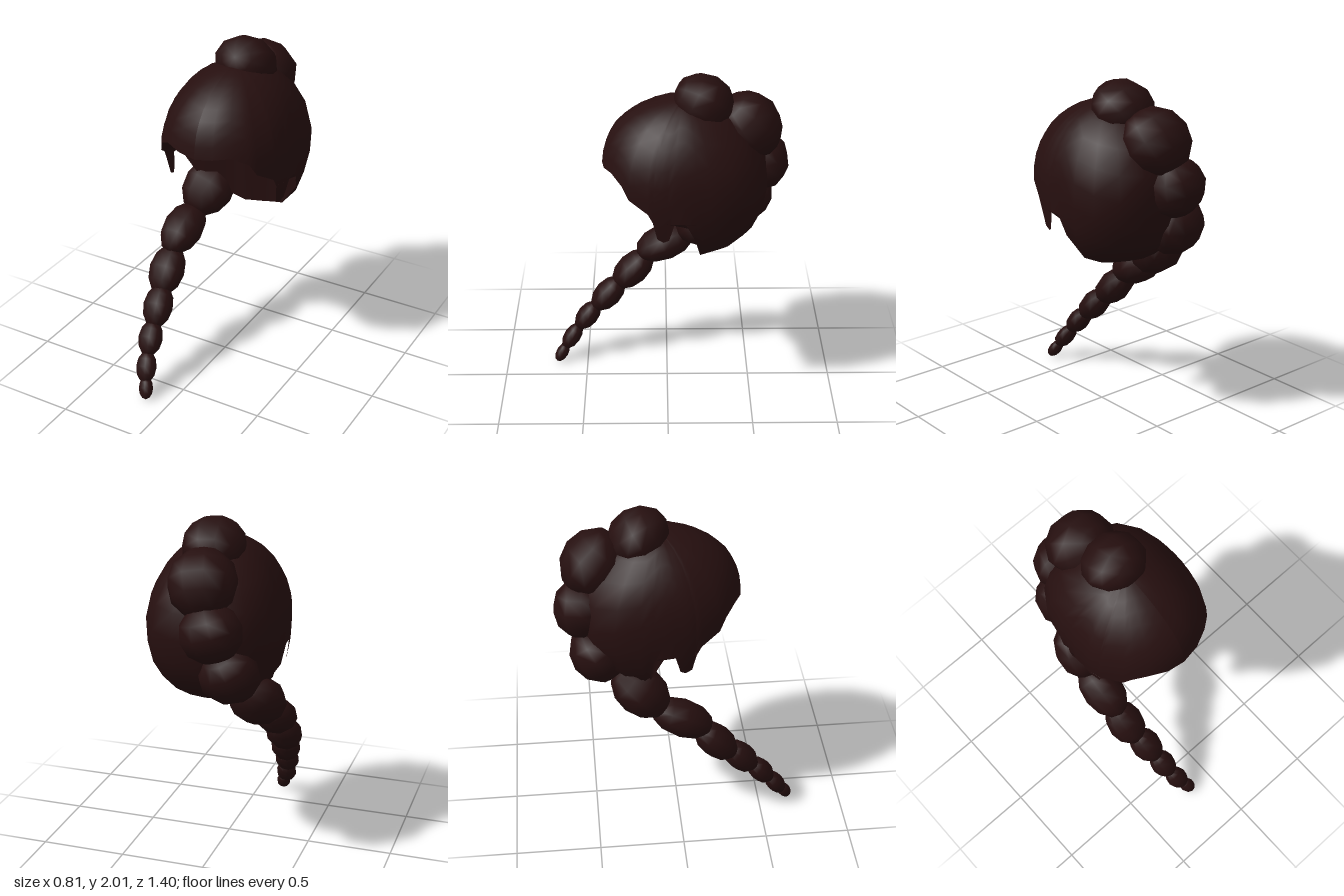
import * as THREE from 'three';

const RAD = Math.PI / 180;
const MID = 1.42, UPPER = 0.46, LOWER = 0.475; // cap centre height and its two vertical radii

// Point on the cap for a heading (degrees, 0 = front) and a polar angle from the crown.
// The widest part is squared off a little at its diagonals and the brow is blunt.
function capPoint(heading, polar) {
  const h = heading * RAD, dy = Math.cos(polar), sin = Math.sin(polar);
  const low = Math.max(0, -dy) ** 2;
  const diagonal = (Math.cos(h) < 0 ? 0.09 : 0.045) * Math.sin(2 * h) ** 2 * sin ** 4;
  const brow = dy > 0 ? 0.07 * Math.sin(2 * polar) ** 2 * Math.max(0, Math.cos(h)) : 0;
  const ring = sin * (1 + diagonal);
  return [
    0.015 + 0.388 * ring * (1 + 0.45 * low) * Math.sin(h),
    MID + (dy > 0 ? UPPER : LOWER) * dy,
    -0.1 + 0.472 * ring * (1 + 0.25 * low + brow) * Math.cos(h),
  ];
}

// Surface from rows of points, all rows of equal length
function loft(rows) {
  const n = rows[0].length, index = [];
  for (let i = 0; i < rows.length - 1; i++) {
    for (let j = 0; j < n - 1; j++) {
      const a = i * n + j, b = a + n;
      index.push(a, a + 1, b, b, a + 1, b + 1);
    }
  }
  const geo = new THREE.BufferGeometry();
  geo.setAttribute('position', new THREE.Float32BufferAttribute(rows.flat(2), 3));
  geo.setIndex(index);
  geo.computeVertexNormals();
  return geo;
}

export function createModel() {
  const group = new THREE.Group();
  const hair = new THREE.MeshStandardMaterial({ color: 0x260f0f, side: THREE.DoubleSide });
  const add = (name, geo) => {
    const mesh = new THREE.Mesh(geo, hair);
    mesh.name = name;
    group.add(mesh);
    return mesh;
  };

  // Hairline: heading and height of the rim, front to back
  const half = [
    [0, 1.48], [16, 1.495], [31, 1.51], [44, 1.465], [50, 1.395], [64, 1.33], [67, 1.28],
    [68.5, 1.17], [73, 1.15], [77.5, 1.17], [82, 1.28], [90, 1.28], [97, 1.17], [106, 1.02],
    [122, 0.985], [140, 0.965], [160, 0.957], [180, 0.954],
  ];
  const rim = [...half, ...half.slice(0, -1).reverse().map(([a, y]) => [360 - a, y])];
  const endPolar = (y) => Math.acos((y - MID) / (y > MID ? UPPER : LOWER));

  // Cap with fringe, side locks and nape
  const ROWS = 9;
  add('hairCap', loft(rim.map(([a, y]) =>
    Array.from({ length: ROWS + 1 }, (_, j) => capPoint(a, Math.max(0.001, endPolar(y) * j / ROWS))))));

  // Inner crease that the fringe underside and nape lining share
  const crease = (x) => [x * 0.97, 1.42 - 0.15 * (x / 0.36) ** 2, -0.15];
  const lining = (cols) => loft(cols.map(([a, y]) => {
    const p = capPoint(a, endPolar(y));
    return [p, crease(p[0])];
  }));
  const front = half.filter(([a]) => a <= 97).map(([a, y]) => [a, Math.max(y, 1.28)]);
  add('fringeUnderside', lining([...front.slice(1).reverse().map(([a, y]) => [-a, y]), ...front]));
  add('napeLining', lining(rim.filter(([a]) => a >= 97 && a <= 263)));

  // Braid lobes: x, y, z, half width, half length, half thickness, optional own direction
  const lobes = [
    [0.02, 1.845, -0.205, 0.185, 0.18, 0.155],
    [0.0, 1.7, -0.46, 0.2, 0.2, 0.18],
    [-0.07, 1.45, -0.535, 0.185, 0.17, 0.165],
    [-0.15, 1.19, -0.46, 0.18, 0.175, 0.155],
    [-0.24, 0.97, -0.225, 0.165, 0.19, 0.14],
    [-0.283, 0.785, 0.012, 0.125, 0.19, 0.11, [0, -0.45, 1]],
    [-0.28, 0.595, 0.21, 0.112, 0.16, 0.095],
    [-0.25, 0.435, 0.365, 0.092, 0.135, 0.082],
    [-0.225, 0.29, 0.495, 0.076, 0.108, 0.065],
    [-0.195, 0.155, 0.595, 0.064, 0.095, 0.052],
    [-0.16, 0.055, 0.66, 0.044, 0.066, 0.038],
  ];
  const lobe = new THREE.SphereGeometry(1, 10, 6);
  const down = new THREE.Vector3(0, -1, 0);
  lobes.forEach(([x, y, z, w, len, t, aim], i) => {
    const a = lobes[Math.max(0, i - 1)], b = lobes[Math.min(lobes.length - 1, i + 1)];
    const dir = new THREE.Vector3(...(aim ?? [b[0] - a[0], b[1] - a[1], b[2] - a[2]])).normalize();
    const mesh = add('braidLobe' + (i + 1), lobe);
    mesh.position.set(x, y, z);
    mesh.scale.set(w, len, t);
    mesh.quaternion.setFromUnitVectors(down, dir);
  });
  return group;
}
